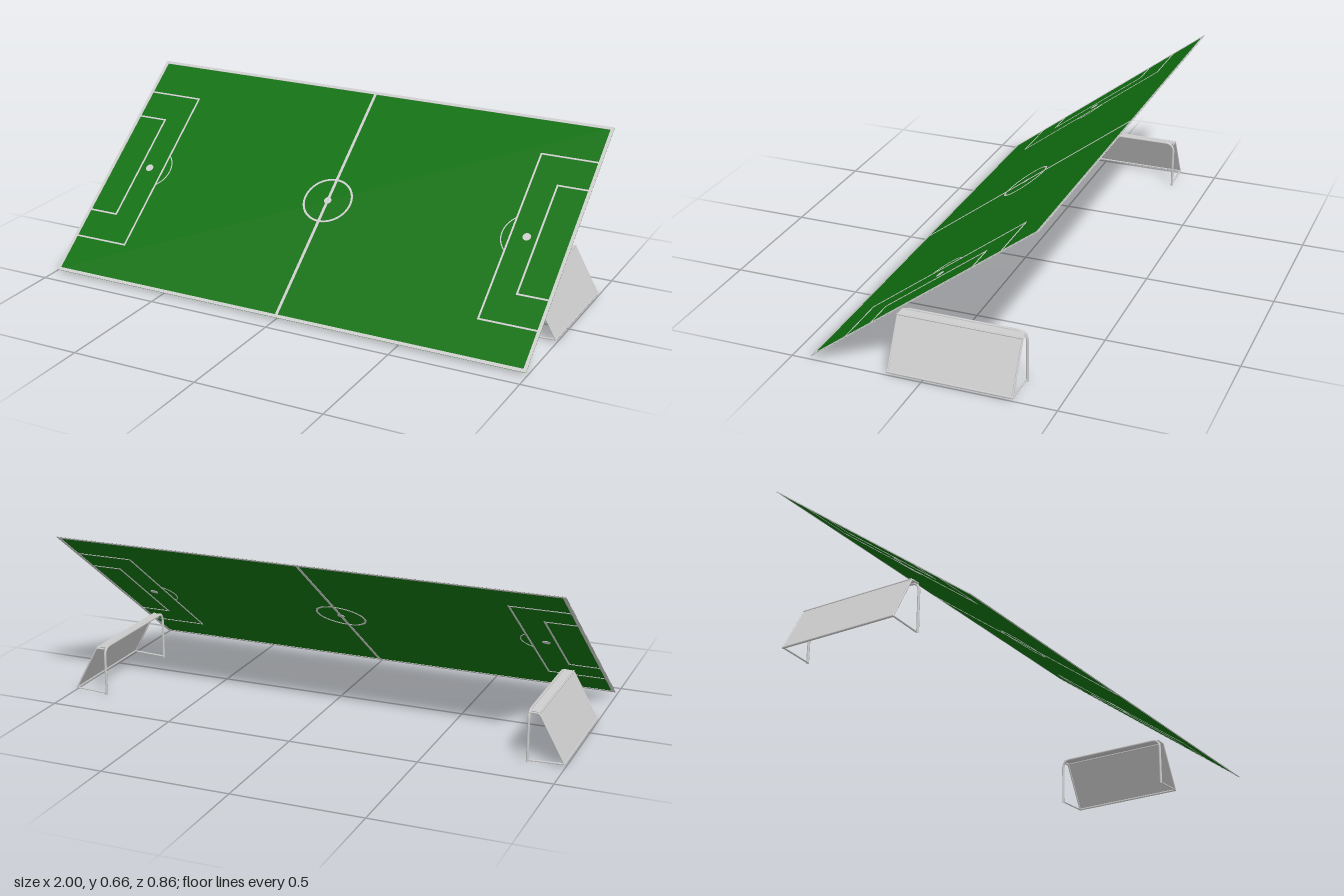
import * as THREE from 'three';

const grass = new THREE.MeshStandardMaterial({ color: 0x107010, side: THREE.DoubleSide });
const grey = new THREE.MeshStandardMaterial({ color: 0xcccccc });
const netMat = new THREE.MeshStandardMaterial({ color: 0xcccccc, side: THREE.DoubleSide });
const THICK = 0.003;

function add(parent, name, geometry, material = grey) {
  const mesh = new THREE.Mesh(geometry, material);
  mesh.name = name;
  parent.add(mesh);
  return mesh;
}

// Straight painted line between two points, seen from both faces of the pitch
function line(parent, name, x1, y1, x2, y2, w) {
  const horizontal = y1 === y2;
  const geo = new THREE.BoxGeometry(
    horizontal ? Math.abs(x2 - x1) + w : w,
    horizontal ? w : Math.abs(y2 - y1) + w, THICK);
  add(parent, name, geo).position.set((x1 + x2) / 2, (y1 + y2) / 2, 0);
}

// Painted arc band around a centre
function arc(parent, name, x, y, r, w, from, to) {
  const shape = new THREE.Shape();
  shape.absarc(0, 0, r + w / 2, from, to, false);
  shape.absarc(0, 0, r - w / 2, to, from, true);
  const geo = new THREE.ExtrudeGeometry(shape, { depth: THICK, bevelEnabled: false, curveSegments: 48 });
  add(parent, name, geo.translate(0, 0, -THICK / 2)).position.set(x, y, 0);
}

function dot(parent, name, x, r) {
  const geo = new THREE.CylinderGeometry(r, r, THICK, 24).rotateX(Math.PI / 2);
  add(parent, name, geo).position.x = x;
}

function createPitch() {
  const pitch = new THREE.Group();
  pitch.name = 'pitch';
  const W = 0.988, H = 0.529;
  add(pitch, 'grass', new THREE.PlaneGeometry(1.99, 1.072), grass);

  // Border, halfway line and centre circle
  for (const s of [-1, 1]) {
    line(pitch, 'touchLine', -W, s * H, W, s * H, 0.013);
    line(pitch, 'goalLine', s * W, -H, s * W, H, 0.013);
  }
  line(pitch, 'halfwayLine', 0, -H, 0, H, 0.011);
  arc(pitch, 'centreCircleRight', 0, 0, 0.097, 0.008, -Math.PI / 2, Math.PI / 2);
  arc(pitch, 'centreCircleLeft', 0, 0, 0.097, 0.008, Math.PI / 2, Math.PI * 1.5);
  dot(pitch, 'centreSpot', 0, 0.015);

  // Areas, spots and arcs at both ends
  for (const s of [-1, 1]) {
    for (const [name, x, h] of [['penaltyArea', 0.757, 0.368], ['goalArea', 0.862, 0.24]]) {
      line(pitch, name + 'Front', s * x, -h, s * x, h, 0.007);
      for (const t of [-1, 1]) line(pitch, name + 'Side', s * x, t * h, s * W, t * h, 0.007);
    }
    dot(pitch, 'penaltySpot', s * 0.82, 0.016);
    const mid = s > 0 ? Math.PI : 0;
    arc(pitch, 'penaltyArc', s * 0.82, 0, 0.097, 0.004, mid - 0.86, mid + 0.86);
  }
  return pitch;
}

// Tube along straight runs with rounded corners
function bar(parent, name, points, radius, round = 0.02) {
  const p = points.map(a => new THREE.Vector3(...a));
  const path = new THREE.CurvePath();
  let start = p[0];
  for (let i = 1; i < p.length; i++) {
    if (i === p.length - 1) {
      path.add(new THREE.LineCurve3(start, p[i]));
      break;
    }
    const toward = (q) => p[i].clone().add(q.clone().sub(p[i]).setLength(round));
    const a = toward(p[i - 1]), b = toward(p[i + 1]);
    path.add(new THREE.LineCurve3(start, a));
    path.add(new THREE.QuadraticBezierCurve3(a, p[i], b));
    start = b;
  }
  add(parent, name, new THREE.TubeGeometry(path, points.length * 24, radius, 8, false));
}

// Goal opening towards -x, with its depth running to +x
function createGoal() {
  const goal = new THREE.Group();
  goal.name = 'goal';
  const Z = 0.236, front = 0.86, topBack = 0.898, back = 0.995, top = 0.194, base = 0.011;

  // Posts with crossbar
  bar(goal, 'goalFrame', [[front, 0, -Z], [front, top, -Z], [front, top, Z], [front, 0, Z]], 0.005, 0.035);

  // Side stays and ground bars
  for (const s of [-1, 1]) {
    const z = s * (Z - 0.003);
    bar(goal, 'sideStay', [[front, top - 0.006, z], [topBack, top - 0.006, z], [back, base, z]], 0.0035, 0.01);
    bar(goal, 'groundBar', [[front, 0.005, z], [back, base, z]], 0.0035);
  }
  bar(goal, 'rearTopBar', [[topBack, top - 0.005, -Z], [topBack, top - 0.005, Z]], 0.0035);
  bar(goal, 'rearGroundBar', [[back, base, -Z], [back, base, Z]], 0.0045);

  // Net over the roof and sloping back
  const section = [[front, top], [topBack, top - 0.003], [back, base]];
  const pos = [];
  for (let i = 0; i < 2; i++) {
    const [x1, y1] = section[i], [x2, y2] = section[i + 1], n = Z - 0.006;
    pos.push(x1, y1, -n, x1, y1, n, x2, y2, n, x1, y1, -n, x2, y2, n, x2, y2, -n);
  }
  const net = new THREE.BufferGeometry();
  net.setAttribute('position', new THREE.Float32BufferAttribute(pos, 3));
  net.computeVertexNormals();
  add(goal, 'net', net, netMat);
  return goal;
}

export function createModel() {
  const model = new THREE.Group();
  model.name = 'footballPitch';

  // Tilted pitch, far edge raised
  const pitch = createPitch();
  pitch.rotation.x = -0.925;
  pitch.position.y = 0.332;
  model.add(pitch);

  // Goals stand upright under both ends
  const leftGoal = createGoal();
  leftGoal.position.z = -0.103;
  const rightGoal = createGoal();
  rightGoal.rotation.y = Math.PI;
  rightGoal.position.z = -0.111;
  model.add(leftGoal, rightGoal);
  return model;
}
